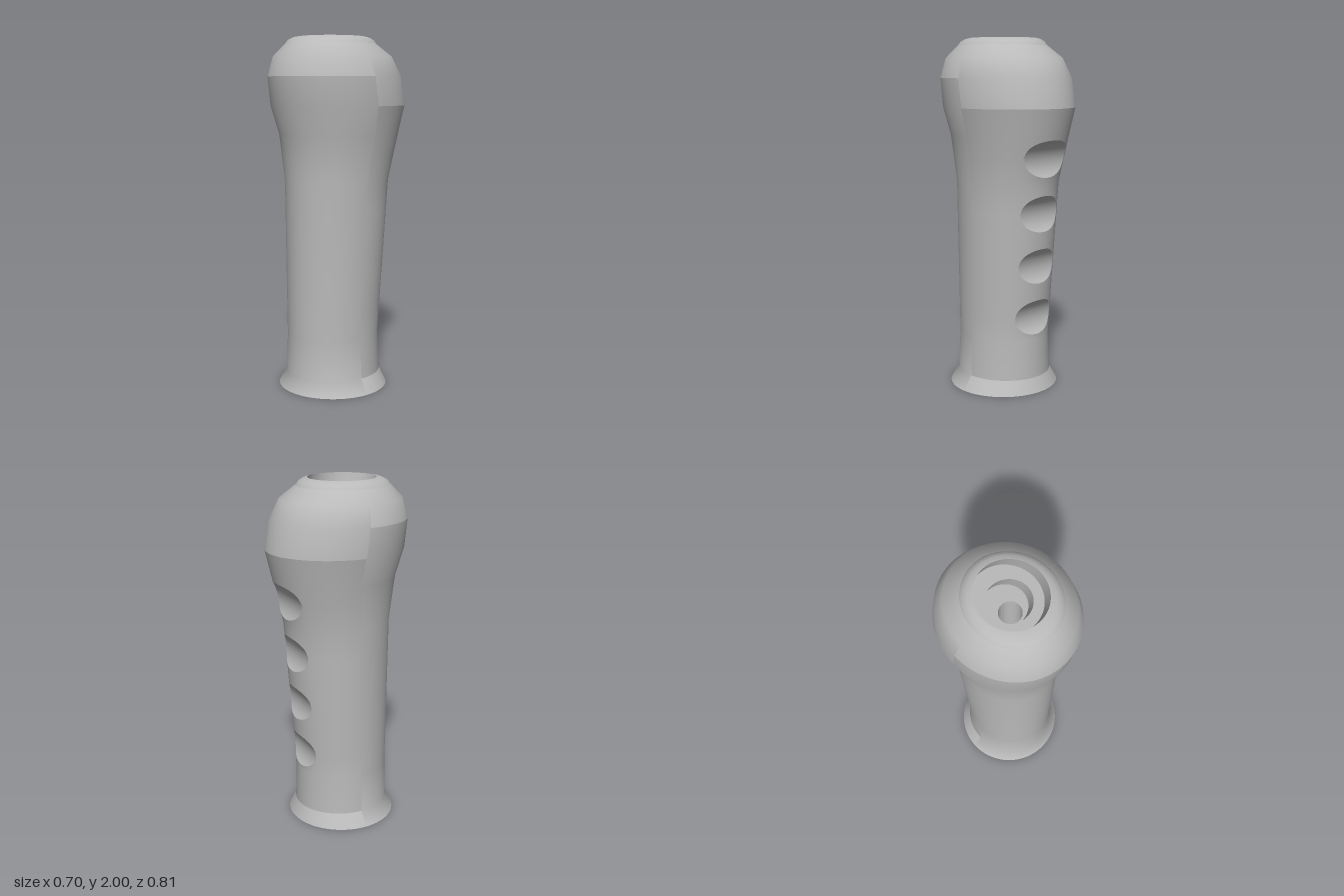
import * as THREE from 'three';
import { toCreasedNormals } from 'three/addons/utils/BufferGeometryUtils.js';

// Outer profile: height, half width in x, reach to the front, reach to the back
const PROFILE = [
  [0, 0.315, 0.345, 0.28], [0.08, 0.262, 0.305, 0.245], [0.31, 0.25, 0.302, 0.239],
  [1.2, 0.276, 0.309, 0.307], [1.46, 0.316, 0.338, 0.368], [1.62, 0.352, 0.388, 0.405],
  [1.78, 0.352, 0.405, 0.374], [1.89, 0.316, 0.375, 0.314], [1.96, 0.24, 0.306, 0.22],
  [1.98, 0.226, 0.29, 0.206], [1.994, 0.203, 0.262, 0.182], [2, 0.18, 0.225, 0.155],
];
// Finger grooves: height and depth of each cylinder's axis
const GROOVES = [[0.43, -0.345], [0.73, -0.37], [1.03, -0.39], [1.325, -0.43]];
const GROOVE_RADIUS = 0.14;
const COLUMNS = 120;

// Point on the outer ellipse at angle t and height y
function bodyPoint(t, y) {
  let i = 0;
  while (i < PROFILE.length - 2 && y > PROFILE[i + 1][0]) i++;
  const a = PROFILE[i], b = PROFILE[i + 1];
  const k = (y - a[0]) / (b[0] - a[0]);
  const [w, f, r] = [1, 2, 3].map((n) => a[n] + (b[n] - a[n]) * k);
  return [w * Math.cos(t), y, (f - r) / 2 + ((f + r) / 2) * Math.sin(t)];
}

// Surface through rows; each row is a function from angle to point
function loft(rows, start, end, columns) {
  const pos = [], index = [], n = columns + 1;
  rows.forEach((row, j) => {
    for (let i = 0; i <= columns; i++) {
      pos.push(...row(start + ((end - start) * i) / columns));
      if (j && i) {
        const d = j * n + i, c = d - 1, b = d - n, a = b - 1;
        index.push(a, c, b, b, c, d);
      }
    }
  });
  const g = new THREE.BufferGeometry();
  g.setAttribute('position', new THREE.Float32BufferAttribute(pos, 3));
  g.setIndex(index);
  g.computeVertexNormals();
  return g;
}

// Depth of the groove cylinder at height y
const grooveZ = ([cy, cz], y) =>
  cz + Math.sqrt(Math.max(0, GROOVE_RADIUS ** 2 - (y - cy) ** 2));

// Lower and upper edge of a groove at angle t
function grooveEdges(groove, t) {
  const gap = (y) => grooveZ(groove, y) - bodyPoint(t, y)[2];
  const low = groove[0] - GROOVE_RADIUS, high = groove[0] + GROOVE_RADIUS;
  let peak = groove[0];
  for (let i = 1; i < 60; i++) {
    const y = low + ((high - low) * i) / 60;
    if (gap(y) > gap(peak)) peak = y;
  }
  if (gap(peak) <= 0) return [peak, peak];
  return [low, high].map((outside) => {
    let a = peak, b = outside;
    for (let i = 0; i < 30; i++) {
      const m = (a + b) / 2;
      if (gap(m) > 0) a = m; else b = m;
    }
    return a;
  });
}

export function createModel() {
  const group = new THREE.Group();
  const grey = new THREE.MeshStandardMaterial({ color: 0xbababa });
  grey.name = 'light grey';
  const add = (name, geometry) => {
    const mesh = new THREE.Mesh(geometry, grey);
    mesh.name = name;
    group.add(mesh);
  };
  const level = (y) => (t) => bodyPoint(t, y);
  const front = (name, rows) => add(name, loft(rows, 0, Math.PI, COLUMNS));
  const back = (name, rows) => add(name, loft(rows, Math.PI, Math.PI * 2, COLUMNS));

  // Front half and the rounded head
  front('frontGrip', [0, 0.08, 0.31, 1.2, 1.46, 1.62, 1.78].map(level));
  front('frontHead', [1.78, 1.89, 1.96].map(level));
  back('backFlare', [0, 0.08].map(level));
  back('backHead', [1.62, 1.78, 1.89, 1.96].map(level));
  add('topLip', loft([1.96, 1.98, 1.994, 2].map(level), 0, Math.PI * 2, COLUMNS * 2));

  // Back half: bands of grip between the scooped finger grooves
  let rows = [0.08, 0.31].map(level);
  GROOVES.forEach((groove, i) => {
    const edge = (side) => (t) => bodyPoint(t, grooveEdges(groove, t)[side]);
    if (i === 3) rows.push(level(1.2));
    back('backGrip', [...rows, edge(0)]);
    const scoop = [];
    for (let k = 0; k <= 16; k++) {
      scoop.push((t) => {
        const [a, b] = grooveEdges(groove, t);
        const y = a + ((b - a) * k) / 16;
        const p = bodyPoint(t, y);
        return [p[0], y, Math.max(p[2], grooveZ(groove, y))];
      });
    }
    back('fingerGroove', scoop);
    rows = [edge(1)];
  });
  back('backGrip', [...rows, level(1.46), level(1.62)]);

  // Stepped bore, through hole, hexagonal pocket and base
  const ring = (rx, rz, cz, y) => (t) => [rx * Math.cos(t), y, cz + rz * Math.sin(t)];
  const hex = (y) => (t) => {
    const sixth = Math.PI / 3;
    const local = t - Math.floor(t / sixth + 1e-6) * sixth - sixth / 2;
    const r = (0.19 * Math.cos(sixth / 2)) / Math.cos(local);
    return ring(r, r, 0.03, y)(t);
  };
  const bore = loft([
    ring(0.18, 0.19, 0.035, 2), ring(0.18, 0.19, 0, 1.89),
    ring(0.122, 0.118, 0.017, 1.89), ring(0.122, 0.118, -0.016, 1.78),
    ring(0.061, 0.061, 0.03, 1.78), ring(0.061, 0.061, 0.03, 0.5),
    hex(0.5), hex(0), level(0),
  ], 0, Math.PI * 2, 96);
  add('boreAndBase', toCreasedNormals(bore, 0.5));
  return group;
}
